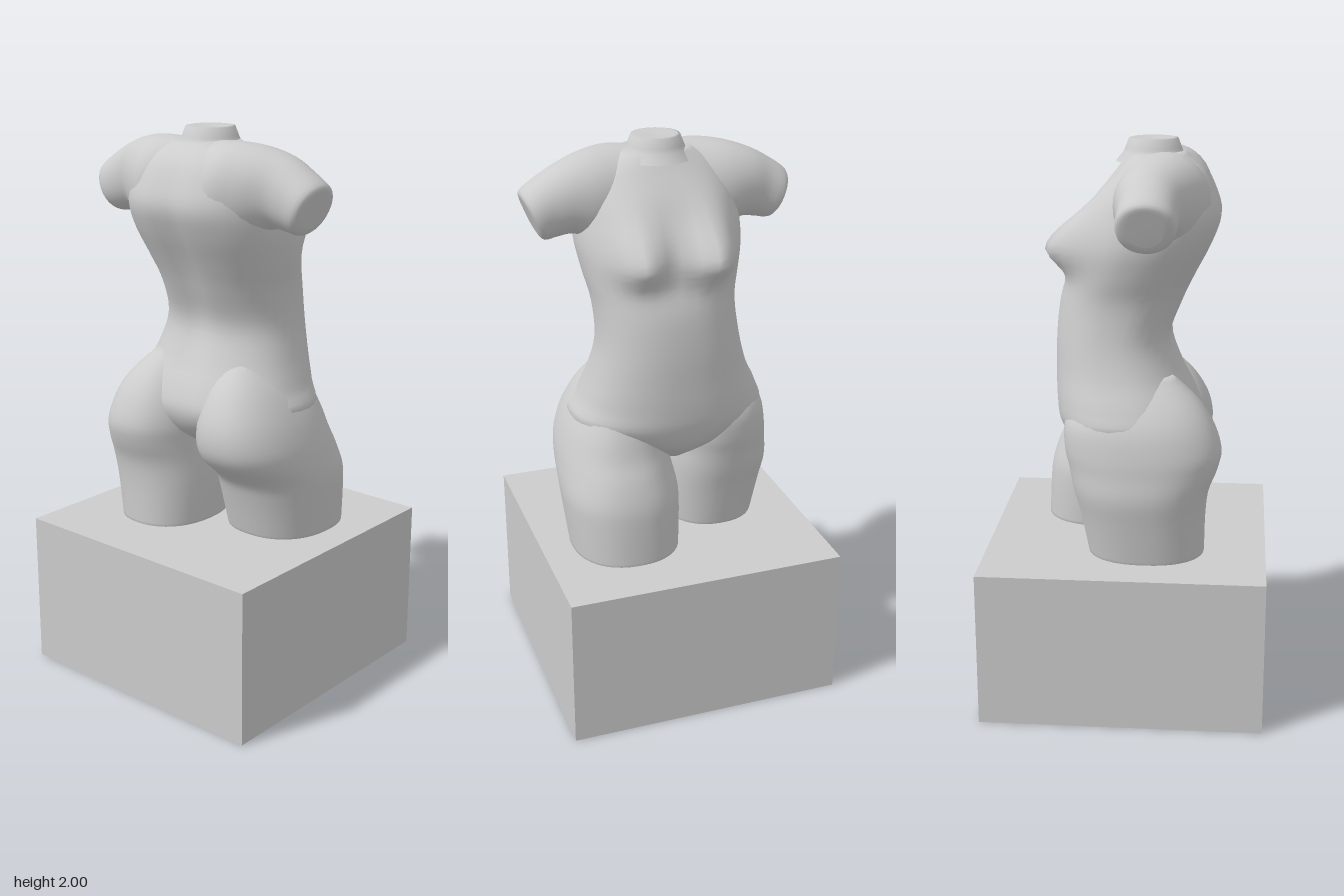
import * as THREE from 'three';

const SIDES = 40, STEPS = 4;

// Smooth interpolation between rows of numbers
function smoothRows(rows) {
  const out = [];
  const at = i => rows[Math.max(0, Math.min(rows.length - 1, i))];
  for (let i = 0; i < rows.length - 1; i++) {
    for (let k = 0; k < STEPS; k++) {
      const t = k / STEPS;
      out.push(at(i).map((b, n) => {
        const a = at(i - 1)[n], c = at(i + 1)[n], d = at(i + 2)[n];
        return b + 0.5 * t * (c - a + t * (2 * a - 5 * b + 4 * c - d + t * (3 * (b - c) + d - a)));
      }));
    }
  }
  out.push(rows[rows.length - 1]);
  return out;
}

// Closed skin over cross-sections; place(row, c, s) gives a point [x, y, z]
function loft(rows, place, power = 0.88) {
  const rings = smoothRows(rows), pos = [], idx = [];
  const round = v => Math.sign(v) * Math.pow(Math.abs(v), power);
  for (const row of rings) {
    for (let j = 0; j < SIDES; j++) {
      const a = (j / SIDES) * Math.PI * 2;
      pos.push(...place(row, round(Math.cos(a)), round(Math.sin(a))));
    }
  }
  for (let i = 0; i < rings.length - 1; i++) {
    for (let j = 0; j < SIDES; j++) {
      const k = (j + 1) % SIDES;
      const p = i * SIDES + j, q = i * SIDES + k;
      idx.push(p, p + SIDES, q, q, p + SIDES, q + SIDES);
    }
  }
  // End caps
  for (const i of [0, rings.length - 1]) {
    const mid = [0, 0, 0], centre = pos.length / 3;
    for (let j = 0; j < SIDES; j++) for (let n = 0; n < 3; n++) mid[n] += pos[(i * SIDES + j) * 3 + n] / SIDES;
    pos.push(...mid);
    for (let j = 0; j < SIDES; j++) {
      const p = i * SIDES + j, q = i * SIDES + (j + 1) % SIDES;
      idx.push(centre, ...(i === 0 ? [p, q] : [q, p]));
    }
  }
  const geo = new THREE.BufferGeometry();
  geo.setAttribute('position', new THREE.Float32BufferAttribute(pos, 3));
  geo.setIndex(idx);
  geo.computeVertexNormals();
  return geo;
}

// Level section: [y, back x, front x, low z, high z]
function level([y, xb, xf, z0, z1], c, s) {
  return [(xb + xf) / 2 + c * (xf - xb) / 2, y, (z0 + z1) / 2 + s * (z1 - z0) / 2];
}

const bump = (d, width) => Math.exp(-(d * d) / (width * width));

// Torso section with breasts in front and a groove down the spine
function torsoPoint(row, c, s) {
  const [x, y, z] = level(row, c, s);
  let dx = 0;
  if (c > 0) {
    const rise = bump(y - 1.635, y > 1.635 ? 0.13 : 0.075) * Math.min(1, c * 2);
    dx += rise * (0.125 * bump(z + 0.12, 0.085) + 0.11 * bump(z - 0.14, 0.085));
  } else {
    dx += 0.03 * bump(z, 0.05) * bump(y - 1.5, 0.35) * -c;
  }
  return [x + dx, y, z];
}

export function createModel() {
  const group = new THREE.Group();
  const stone = new THREE.MeshStandardMaterial({ color: 0xcccccc });
  stone.name = 'pale stone';
  const add = (name, geo) => {
    const mesh = new THREE.Mesh(geo, stone);
    mesh.name = name;
    group.add(mesh);
    return mesh;
  };

  // Square plinth
  add('plinth', new THREE.BoxGeometry(1, 0.56, 1)).position.y = 0.28;

  // Torso from crotch to base of neck
  add('torso', loft([
    [0.87, -0.12, 0.13, -0.06, 0.05],
    [0.94, -0.22, 0.215, -0.21, 0.19],
    [1.02, -0.26, 0.25, -0.35, 0.345],
    [1.10, -0.24, 0.26, -0.335, 0.32],
    [1.20, -0.19, 0.262, -0.285, 0.285],
    [1.32, -0.155, 0.26, -0.25, 0.258],
    [1.45, -0.20, 0.245, -0.24, 0.26],
    [1.55, -0.245, 0.21, -0.265, 0.28],
    [1.65, -0.295, 0.175, -0.29, 0.295],
    [1.74, -0.325, 0.14, -0.29, 0.29],
    [1.82, -0.305, 0.10, -0.27, 0.27],
    [1.90, -0.26, 0.04, -0.22, 0.22],
    [1.955, -0.19, 0.00, -0.12, 0.12],
  ], torsoPoint));

  // Left thigh steps forward
  add('leftThigh', loft([
    [0.54, -0.095, 0.325, 0.00, 0.385],
    [0.70, -0.14, 0.318, -0.01, 0.402],
    [0.78, -0.175, 0.308, -0.01, 0.408],
    [0.86, -0.265, 0.28, 0.00, 0.402],
    [0.93, -0.295, 0.245, 0.005, 0.39],
    [1.02, -0.285, 0.215, 0.02, 0.358],
    [1.12, -0.23, 0.17, 0.05, 0.30],
    [1.20, -0.15, 0.10, 0.09, 0.23],
  ], level));

  // Right thigh stays behind
  add('rightThigh', loft([
    [0.54, -0.28, 0.13, -0.355, -0.015],
    [0.70, -0.283, 0.16, -0.382, -0.005],
    [0.80, -0.295, 0.185, -0.398, -0.005],
    [0.88, -0.325, 0.20, -0.392, -0.01],
    [0.95, -0.336, 0.215, -0.385, -0.01],
    [1.04, -0.305, 0.215, -0.362, -0.02],
    [1.12, -0.25, 0.17, -0.31, -0.05],
    [1.20, -0.16, 0.10, -0.23, -0.09],
  ], level));

  // Shoulders and arm stumps: [top z, top y, bottom z, bottom y, back x, front x]
  const arm = [
    [0.03, 1.955, 0.03, 1.66, -0.23, 0.00],
    [0.15, 1.962, 0.13, 1.62, -0.285, 0.03],
    [0.25, 1.952, 0.22, 1.64, -0.25, 0.04],
    [0.34, 1.925, 0.30, 1.68, -0.20, 0.03],
    [0.41, 1.888, 0.355, 1.677, -0.185, 0.018],
    [0.475, 1.842, 0.405, 1.67, -0.178, 0.015],
    [0.476, 1.815, 0.428, 1.695, -0.14, -0.02],
  ];
  for (const side of [1, -1]) {
    add(side > 0 ? 'leftShoulder' : 'rightShoulder', loft(arm, ([zt, yt, zb, yb, xb, xf], c, s) => {
      const v = -s * side;
      return [
        (xb + xf) / 2 + c * (xf - xb) / 2,
        (yt + yb) / 2 + v * (yt - yb) / 2,
        side * ((zt + zb) / 2 + v * (zt - zb) / 2),
      ];
    }, 0.95));
  }

  // Broken neck stump
  const neck = [[0.13, 1.92], [0.105, 1.95], [0.098, 1.965], [0.085, 1.998], [0.075, 2.0], [0.04, 1.997], [0, 1.995]];
  add('neckStump', new THREE.LatheGeometry(neck.map(([r, y]) => new THREE.Vector2(r, y)), 20))
    .position.set(-0.08, 0, 0);

  return group;
}
